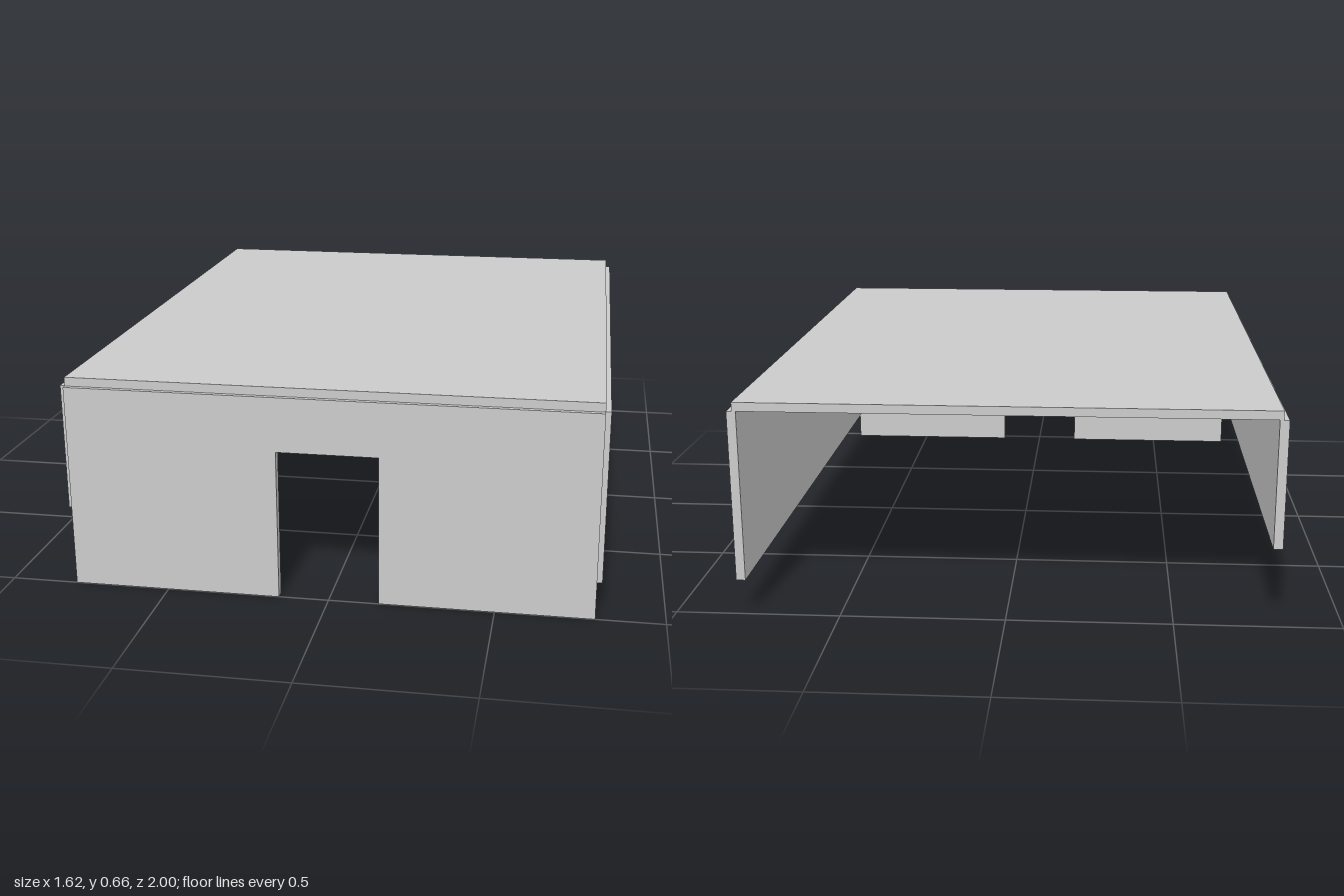
import * as THREE from 'three';

const material = new THREE.MeshStandardMaterial({ color: 0xcccccc, flatShading: true });

function add(group, name, geometry) {
  const mesh = new THREE.Mesh(geometry, material);
  mesh.name = name;
  group.add(mesh);
  return mesh;
}

// Box given by its lower and upper corners
function block(group, name, [x0, y0, z0], [x1, y1, z1]) {
  const mesh = add(group, name, new THREE.BoxGeometry(x1 - x0, y1 - y0, z1 - z0));
  mesh.position.set((x0 + x1) / 2, (y0 + y1) / 2, (z0 + z1) / 2);
}

// Closed outline from [x, y] pairs
function outline(points, Type = THREE.Shape) {
  return new Type(points.map(([x, y]) => new THREE.Vector2(x, y)));
}

export function createModel() {
  const group = new THREE.Group();
  group.name = 'openBackedCover';
  const halfWidth = 0.795, underside = 0.633, top = 0.66, back = -1;

  // Top plate: solid upper layer
  block(group, 'topPlate', [-halfWidth, underside + 0.013, back], [halfWidth, top, 0.985]);

  // Lower layer, with three shallow slots along the right edge
  const sheet = outline([[-halfWidth, back], [halfWidth, back], [halfWidth, 0.985], [-halfWidth, 0.985]]);
  for (const z of [-0.38, 0.12, 0.62]) {
    sheet.holes.push(outline([[-0.775, z], [-0.775, z + 0.34], [-0.742, z + 0.34], [-0.742, z]], THREE.Path));
  }
  const lower = new THREE.ExtrudeGeometry(sheet, { depth: 0.013, bevelEnabled: false });
  lower.rotateX(Math.PI / 2);
  add(group, 'slottedUnderside', lower).position.y = underside + 0.013;

  // Side walls of different height
  block(group, 'leftWall', [0.783, 0.108, back], [0.811, underside, 0.98]);
  block(group, 'rightWall', [-0.811, 0.243, back], [-0.783, underside, 0.98]);

  // Front panel with a central doorway
  const door = 0.153, doorTop = 0.465;
  const front = outline([
    [-halfWidth, 0], [-door, 0], [-door, doorTop], [door, doorTop],
    [door, 0], [halfWidth, 0], [halfWidth, underside], [-halfWidth, underside],
  ]);
  const panel = new THREE.ExtrudeGeometry(front, { depth: 0.03, bevelEnabled: false });
  add(group, 'frontPanel', panel).position.z = 0.97;

  return group;
}
